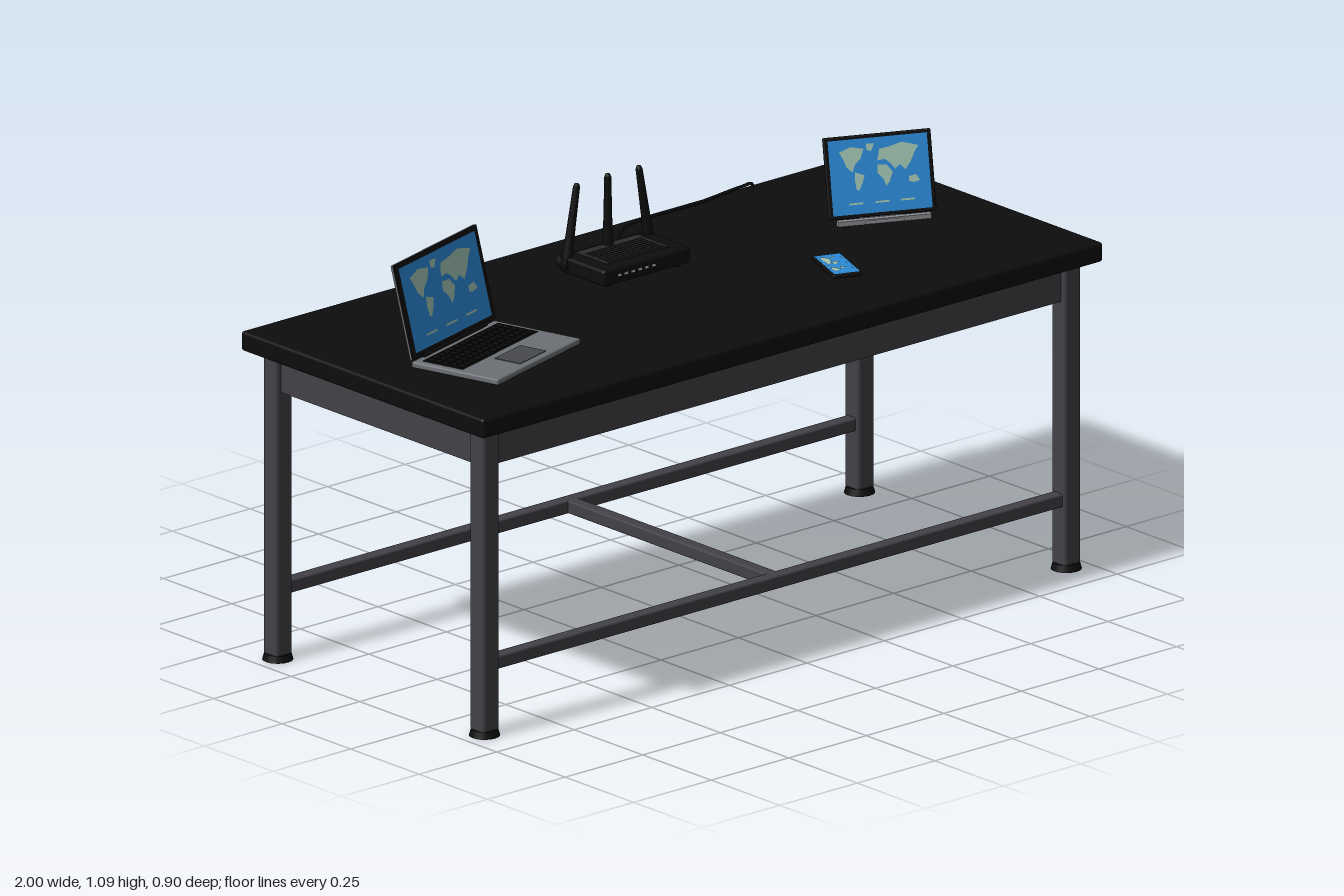
import * as THREE from 'three';
import { RoundedBoxGeometry } from 'three/addons/geometries/RoundedBoxGeometry.js';
import { mergeGeometries } from 'three/addons/utils/BufferGeometryUtils.js';

const material = (name, color) => {
  const m = new THREE.MeshStandardMaterial({ color });
  m.name = name;
  return m;
};
const black = material('black', 0x0d0d0e);
const metal = material('dark metal', 0x424147);
const silver = material('grey casing', 0x6c6f74);
const padGrey = material('touchpad grey', 0x46484c);
const blue = material('screen blue', 0x2b8ad8);
const pale = material('pale map green', 0x9fc4b4);
const ventGrey = material('vent grey', 0x2c2c2f);
const white = material('light white', 0xd8dcdc);
const standGrey = material('stand grey', 0x8b8d91);

const TOP = 0.835;

function add(parent, name, geometry, mat, x = 0, y = 0, z = 0) {
  const mesh = new THREE.Mesh(geometry, mat);
  mesh.name = name;
  mesh.position.set(x, y, z);
  parent.add(mesh);
  return mesh;
}
function group(parent, name, x = 0, y = 0, z = 0, turn = 0) {
  const g = new THREE.Group();
  g.name = name;
  g.position.set(x, y, z);
  g.rotation.y = THREE.MathUtils.degToRad(turn);
  parent.add(g);
  return g;
}
const box = (w, h, d) => new THREE.BoxGeometry(w, h, d);
const rounded = (w, h, d, r) => new RoundedBoxGeometry(w, h, d, 3, r);

// Simplified continents in a unit square centred on zero
const continents = [
  [-.43, .36, -.3, .42, -.16, .38, -.2, .25, -.27, .16, -.3, .06, -.36, .14, -.39, .25],
  [-.13, .45, -.04, .44, -.08, .34, -.13, .36],
  [-.27, .06, -.17, .01, -.2, -.1, -.24, -.2, -.27, -.18, -.28, -.04],
  [-.02, .14, .08, .13, .14, .02, .1, -.1, .06, -.17, .03, -.06, -.03, .03],
  [-.02, .2, .01, .36, .12, .38, .26, .43, .44, .36, .39, .27, .34, .14, .28, .04, .22, .12, .17, .06, .11, .16, .06, .21],
  [.31, -.06, .39, -.04, .43, -.13, .36, -.15, .31, -.13],
];

// Lit display facing +z, with the map above and rows of small marks below
function display(parent, w, h) {
  const g = group(parent, 'display');
  add(g, 'screenFace', new THREE.PlaneGeometry(w, h), blue);
  const shapes = continents.map((c) => {
    const s = new THREE.Shape();
    for (let i = 0; i < c.length; i += 2) s[i ? 'lineTo' : 'moveTo'](c[i] * w * 0.92, c[i + 1] * h * 0.95);
    s.closePath();
    return s;
  });
  add(g, 'worldMap', new THREE.ShapeGeometry(shapes), pale, 0, 0, 0.0012);
  const marks = [-0.26, 0, 0.26].map((x) =>
    new THREE.PlaneGeometry(w * 0.14, h * 0.025).translate(x * w, -h * 0.36, 0));
  add(g, 'screenMarks', mergeGeometries(marks), pale, 0, 0, 0.0012);
  return g;
}

function buildTable(root) {
  const t = group(root, 'table');
  add(t, 'tabletop', rounded(2, 0.05, 0.885, 0.008), black, 0, 0.81, 0.0075);
  add(t, 'apron', box(1.9, 0.095, 0.78), metal, 0, 0.7375, 0.0075);
  for (const z of [0.385, -0.37]) {
    for (const x of [-0.9375, 0.9375]) {
      add(t, 'leg', rounded(0.055, 0.775, 0.052, 0.01), metal, x, 0.3985, z);
      add(t, 'foot', new THREE.CylinderGeometry(0.033, 0.038, 0.017, 20), black, x, 0.0085, z);
    }
    add(t, 'longStretcher', rounded(1.83, 0.034, 0.034, 0.005), metal, 0, 0.182, z);
  }
  add(t, 'crossStretcher', rounded(0.034, 0.033, 0.74, 0.005), metal, 0, 0.182, 0.0075);
}

function buildLaptop(root) {
  const g = group(root, 'laptop', -0.665, TOP, 0.118, 15.8);
  add(g, 'base', rounded(0.37, 0.016, 0.25, 0.005), silver, 0, 0.01, 0);
  add(g, 'keyboardWell', box(0.335, 0.002, 0.115), black, 0, 0.0185, -0.045);
  add(g, 'touchpad', box(0.115, 0.002, 0.075), padGrey, 0, 0.0185, 0.07);
  const keys = [];
  for (let r = 0; r < 5; r++) {
    for (let c = 0; c < 14; c++) {
      keys.push(box(0.019, 0.002, 0.017).translate((c - 6.5) * 0.0232, 0.0205, -0.089 + r * 0.022));
    }
  }
  add(g, 'keys', mergeGeometries(keys), black);
  const hinge = add(g, 'hinge', new THREE.CylinderGeometry(0.007, 0.007, 0.28, 12), black, 0, 0.02, -0.121);
  hinge.rotation.z = Math.PI / 2;
  // Lid leans back from the hinge
  const lid = group(g, 'lid', 0, 0.02, -0.121);
  lid.rotation.x = -0.24;
  add(lid, 'lidShell', rounded(0.37, 0.24, 0.007, 0.003), silver, 0, 0.12, -0.004);
  add(lid, 'bezel', box(0.368, 0.238, 0.004), black, 0, 0.12, 0.001);
  display(lid, 0.338, 0.212).position.set(0, 0.121, 0.0042);
}

function buildTablet(root) {
  const g = group(root, 'tabletOnStand', 0.705, TOP, -0.02, -25);
  const t = group(g, 'tablet', 0, 0.014, 0);
  t.rotation.x = -0.28;
  add(t, 'tabletBody', rounded(0.272, 0.2, 0.01, 0.004), black, 0, 0.1, -0.005);
  display(t, 0.25, 0.182).position.set(0, 0.1, 0.0012);
  // Stand with a foot, a front lip and a leaning back rest
  add(g, 'standFoot', rounded(0.1, 0.01, 0.145, 0.004), standGrey, 0, 0.005, -0.055);
  add(g, 'standLip', box(0.235, 0.012, 0.016), standGrey, 0, 0.007, 0.008);
  const rest = add(g, 'standRest', rounded(0.085, 0.118, 0.016, 0.006), standGrey, 0, 0.062, -0.088);
  rest.rotation.x = -0.38;
}

function buildPhone(root) {
  const g = group(root, 'phone', 0.39, TOP, 0.168, -21);
  add(g, 'phoneBody', rounded(0.075, 0.01, 0.152, 0.004), black, 0, 0.005, 0);
  const d = display(g, 0.144, 0.068);
  d.position.y = 0.0112;
  d.rotation.set(-Math.PI / 2, 0, Math.PI / 2);
}

function buildRouter(root) {
  const g = group(root, 'router', 0, TOP, -0.165);
  add(g, 'routerBody', rounded(0.28, 0.042, 0.165, 0.008), black, 0, 0.026, 0);
  for (const x of [-0.11, 0.11]) for (const z of [-0.06, 0.06]) {
    add(g, 'rubberFoot', new THREE.CylinderGeometry(0.01, 0.01, 0.008, 12), black, x, 0.004, z);
  }
  add(g, 'ventPanel', box(0.2, 0.003, 0.115), ventGrey, 0, 0.0475, -0.01);
  for (let i = 0; i < 8; i++) add(g, 'ventSlot', box(0.18, 0.003, 0.005), black, 0, 0.0485, -0.04 + i * 0.0115);
  const lights = [], ports = [];
  for (let i = 0; i < 6; i++) {
    lights.push(box(0.01, 0.005, 0.002).translate(-0.09 + i * 0.022, 0.027, 0.083));
    ports.push(box(0.018, 0.006, 0.002).translate(-0.1 + i * 0.04, 0.03, -0.083));
  }
  add(g, 'statusLights', mergeGeometries(lights), white);
  add(g, 'rearPorts', mergeGeometries(ports), standGrey);
  // Three aerials, the outer two leaning inward
  for (const s of [-1, 0, 1]) {
    const a = group(g, 'aerial', s * 0.133, 0.03, -0.062);
    a.rotation.z = s * 0.17;
    const profile = [[0, -0.015], [0.018, -0.015], [0.018, 0.025], [0.012, 0.06], [0.011, 0.1], [0.009, 0.19], [0.006, 0.198], [0, 0.2]]
      .map(([x, y]) => new THREE.Vector2(x * (y > 0.05 ? 0.95 : 0.8), y));
    add(a, 'aerialRod', new THREE.LatheGeometry(profile, 14), black);
    const pivot = add(a, 'aerialPivot', new THREE.CylinderGeometry(0.014, 0.014, 0.036, 14), black, 0, 0, -0.005);
    pivot.rotation.x = Math.PI / 2;
  }
}

// Power lead across the tabletop and down behind the table
function buildCable(root) {
  const path = [
    [0.085, 0.86, -0.24], [0.11, 0.855, -0.31], [0.22, 0.846, -0.385], [0.46, 0.84, -0.408],
    [0.61, 0.84, -0.428], [0.655, 0.832, -0.441], [0.66, 0.77, -0.442], [0.668, 0.65, -0.443], [0.686, 0.335, -0.447],
  ].map((p) => new THREE.Vector3(...p));
  add(root, 'powerCable', new THREE.TubeGeometry(new THREE.CatmullRomCurve3(path), 80, 0.0042, 8), black);
  add(root, 'cableEnd', new THREE.CylinderGeometry(0.0042, 0.0042, 0.004, 8), black, 0.686, 0.335, -0.447);
}

export function createModel() {
  const root = new THREE.Group();
  root.name = 'deskWithDevices';
  buildTable(root);
  buildLaptop(root);
  buildTablet(root);
  buildPhone(root);
  buildRouter(root);
  buildCable(root);
  return root;
}
